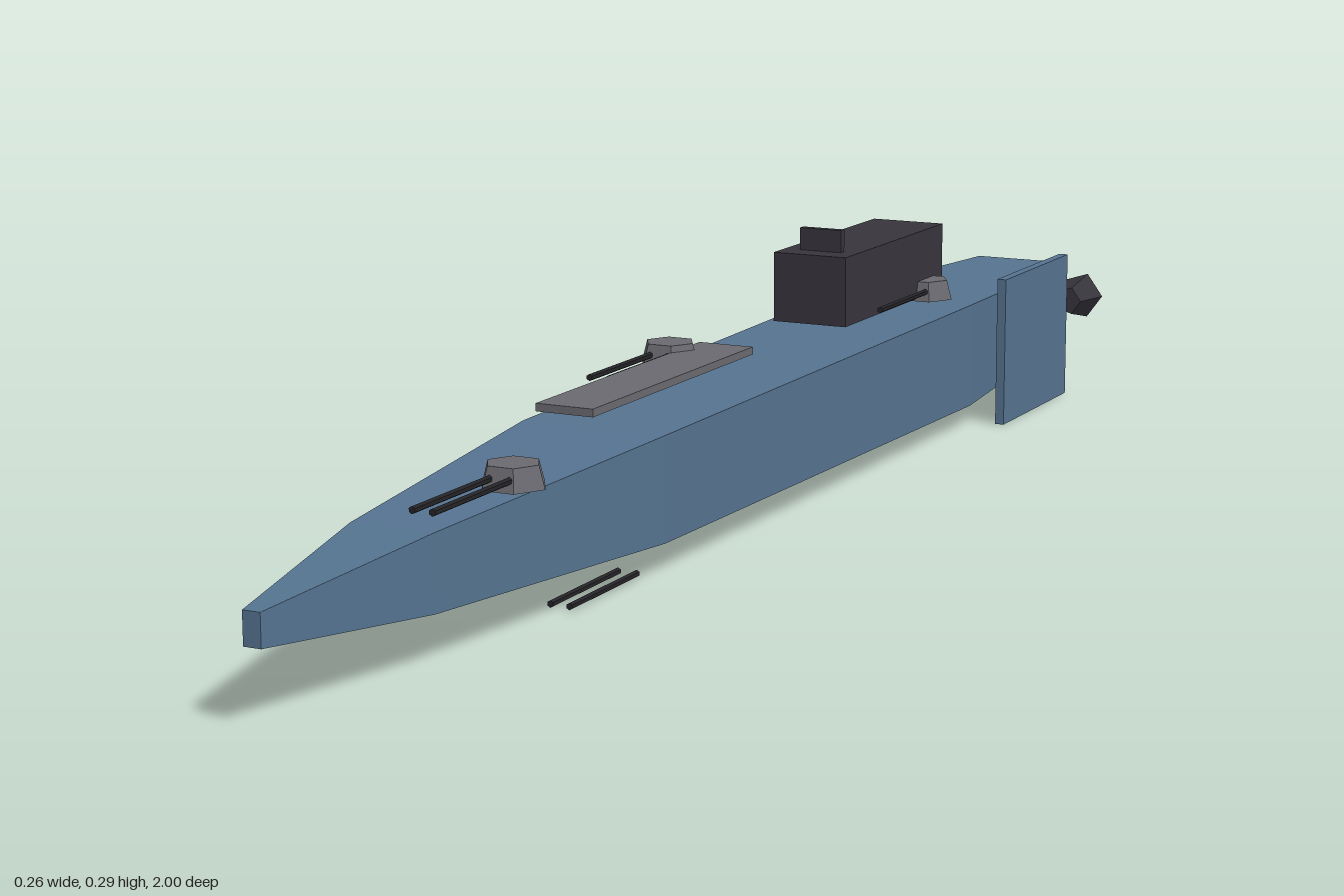
import * as THREE from 'three';

const mat = (name, color) => {
  const m = new THREE.MeshStandardMaterial({ color });
  m.name = name;
  return m;
};

export function createModel() {
  const hullBlue = mat('hull blue', 0x557390);
  const darkGrey = mat('dark grey', 0x37353c);
  const midGrey = mat('mid grey', 0x6a6a70);
  const gunBlack = mat('gun black', 0x242428);
  const glowCyan = mat('glow cyan', 0x62b4c6);

  const model = new THREE.Group();
  model.name = 'spaceship';

  const add = (parent, name, geometry, material, x = 0, y = 0, z = 0) => {
    const mesh = new THREE.Mesh(geometry, material);
    mesh.name = name;
    mesh.position.set(x, y, z);
    parent.add(mesh);
    return mesh;
  };
  const box = (name, w, h, d, material, x, y, z) =>
    add(model, name, new THREE.BoxGeometry(w, h, d), material, x, y, z);

  // Hull: rectangular sections [z, half width, bottom, top] from stern to nose
  const sections = [
    [-0.945, 0.068, 0.043, 0.153],
    [-0.5, 0.099, 0.03, 0.165],
    [0.35, 0.088, 0.038, 0.158],
    [0.76, 0.048, 0.057, 0.139],
    [1.0, 0.01, 0.08, 0.115],
  ];
  const rings = sections.map(([z, w, b, t]) => [[-w, b, z], [w, b, z], [w, t, z], [-w, t, z]]);
  const points = [];
  const quad = (a, b, c, d) => points.push(...a, ...b, ...c, ...a, ...c, ...d);
  for (let i = 0; i < rings.length - 1; i++) {
    for (let j = 0; j < 4; j++) {
      const k = (j + 1) % 4;
      quad(rings[i][j], rings[i][k], rings[i + 1][k], rings[i + 1][j]);
    }
  }
  const [s0, s1, s2, s3] = rings[0];
  quad(s3, s2, s1, s0);
  quad(...rings[rings.length - 1]);
  const hull = new THREE.BufferGeometry();
  hull.setAttribute('position', new THREE.Float32BufferAttribute(points, 3));
  hull.computeVertexNormals();
  add(model, 'hull', hull, hullBlue);

  // Side fins
  for (const s of [1, -1]) {
    box(s > 0 ? 'leftFin' : 'rightFin', 0.012, 0.195, 0.232, hullBlue, s * 0.126, 0.0975, -0.655);
  }

  // Bridge tower, its sensor bar and the deck plate
  box('bridgeTower', 0.098, 0.087, 0.31, darkGrey, 0, 0.2235, -0.364);
  box('sensorBar', 0.056, 0.028, 0.01, darkGrey, 0, 0.281, -0.246);
  box('deckPlate', 0.07, 0.009, 0.39, midGrey, 0, 0.19, 0.219);

  // Twin gun barrels, running forward of a mount point
  const barrelGeo = new THREE.CylinderGeometry(0.004, 0.004, 0.15, 6).toNonIndexed();
  barrelGeo.rotateX(Math.PI / 2);
  barrelGeo.computeVertexNormals();
  const barrels = (x, y, z) => {
    const pair = new THREE.Group();
    pair.name = 'twinBarrels';
    for (const s of [1, -1]) add(pair, 'barrel', barrelGeo, gunBlack, s * 0.0115, 0, 0.1);
    pair.position.set(x, y, z);
    model.add(pair);
  };

  // Deck turrets: [x, base height, z]
  const turretGeo = new THREE.CylinderGeometry(0.03, 0.037, 0.025, 6).toNonIndexed();
  turretGeo.rotateY(Math.PI / 6);
  turretGeo.computeVertexNormals();
  for (const [x, y, z] of [[0.049, 0.153, 0.607], [-0.05, 0.177, 0.071], [0.049, 0.177, -0.464]]) {
    add(model, 'turret', turretGeo, midGrey, x, y + 0.0125, z);
    barrels(x, y + 0.0125, z);
  }

  // Belly guns
  barrels(0.049, 0.005, 0.34);
  barrels(-0.05, 0.005, -0.195);

  // Engine nozzles with glowing exhausts, five-sided with a corner towards +x
  const nozzleGeo = new THREE.CylinderGeometry(0.02, 0.033, 0.055, 5).toNonIndexed();
  nozzleGeo.rotateY(Math.PI / 2).rotateX(Math.PI / 2);
  nozzleGeo.computeVertexNormals();
  const glowGeo = new THREE.CylinderGeometry(0.027, 0.027, 0.004, 5).toNonIndexed();
  glowGeo.rotateY(Math.PI / 2).rotateX(Math.PI / 2);
  glowGeo.computeVertexNormals();
  for (const x of [-0.07, 0, 0.07]) {
    add(model, 'engineNozzle', nozzleGeo, darkGrey, x, 0.098, -0.9705);
    add(model, 'engineGlow', glowGeo, glowCyan, x, 0.098, -0.998);
  }

  return model;
}
